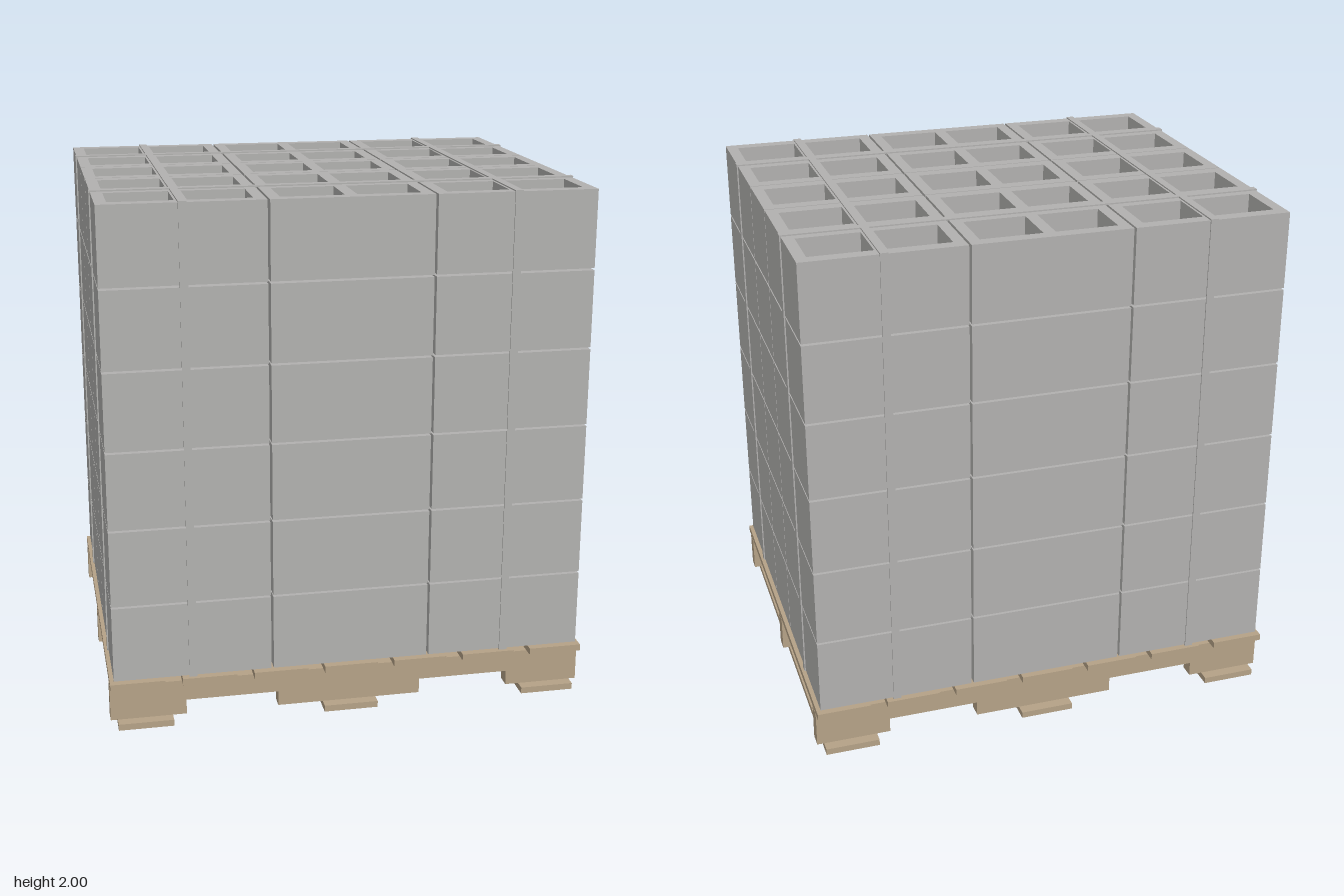
import * as THREE from 'three';

const concrete = new THREE.MeshStandardMaterial({ color: 0xb2b1af });
concrete.name = 'concrete grey';
const wood = new THREE.MeshStandardMaterial({ color: 0xb5a287 });
wood.name = 'pallet wood';

function box(parent, name, mat, w, h, d, x, y, z) {
  const m = new THREE.Mesh(new THREE.BoxGeometry(w, h, d), mat);
  m.name = name;
  m.position.set(x, y, z);
  parent.add(m);
}

function rectangle(path, x, y, w, h) {
  path.moveTo(x - w / 2, y - h / 2);
  path.lineTo(x + w / 2, y - h / 2);
  path.lineTo(x + w / 2, y + h / 2);
  path.lineTo(x - w / 2, y + h / 2);
  path.closePath();
  return path;
}

function createPallet() {
  const pallet = new THREE.Group();
  pallet.name = 'pallet';
  // Seven deck boards and three bottom boards, running front to back
  for (let i = -3; i <= 3; i++) box(pallet, 'deckBoard', wood, 0.207, 0.026, 1.54, i * 0.2735, 0.178, 0);
  for (const x of [-0.793, 0, 0.793]) box(pallet, 'bottomBoard', wood, 0.21, 0.025, 1.54, x, 0.0125, 0);

  // Three stringers with a pair of fork notches
  const s = new THREE.Shape();
  [[-0.925, 0.025], [-0.635, 0.025], [-0.635, 0.083], [-0.28, 0.083], [-0.28, 0.025],
    [0.28, 0.025], [0.28, 0.083], [0.635, 0.083], [0.635, 0.025], [0.925, 0.025],
    [0.925, 0.165], [-0.925, 0.165]].forEach(([x, y], i) => (i ? s.lineTo(x, y) : s.moveTo(x, y)));
  const geo = new THREE.ExtrudeGeometry(s, { depth: 0.057, bevelEnabled: false });
  geo.translate(0, 0, -0.0285);
  for (const z of [-0.7, 0, 0.7]) {
    const m = new THREE.Mesh(geo, wood);
    m.name = 'stringer';
    m.position.z = z;
    pallet.add(m);
  }
  return pallet;
}

function createBlocks() {
  const blocks = new THREE.Group();
  blocks.name = 'blockStack';
  // Hollow block with two cores
  const s = rectangle(new THREE.Shape(), 0, 0, 0.6, 0.296);
  for (const x of [-0.14, 0.14]) s.holes.push(rectangle(new THREE.Path(), x, 0, 0.234, 0.2));
  const geo = new THREE.ExtrudeGeometry(s, { depth: 0.293, bevelEnabled: false });
  geo.rotateX(-Math.PI / 2);
  for (let layer = 0; layer < 6; layer++) {
    for (let row = -2; row <= 2; row++) {
      for (let col = -1; col <= 1; col++) {
        const m = new THREE.Mesh(geo, concrete);
        m.name = 'hollowBlock';
        m.position.set(col * 0.609, 0.197 + layer * 0.301, row * 0.302);
        blocks.add(m);
      }
    }
  }
  return blocks;
}

// Closed band around the stack; alongX gives its direction over the top
function addStrap(parent, alongX, offset) {
  const half = alongX ? 0.909 : 0.752, t = 0.005;
  const strap = new THREE.Group();
  strap.name = 'strap';
  const bar = (len, h, u, y) => (alongX
    ? box(strap, 'strapSide', concrete, len, h, 0.03, u, y, offset)
    : box(strap, 'strapSide', concrete, 0.03, h, len, offset, y, u));
  bar(half * 2 + 2 * t, t, 0, 1.9975);
  bar(half * 2 + 2 * t, t, 0, 0.1945);
  for (const k of [-1, 1]) bar(t, 1.798, k * (half + t / 2), 1.096);
  parent.add(strap);
}

export function createModel() {
  const model = new THREE.Group();
  model.name = 'palletOfBlocks';
  model.add(createPallet(), createBlocks());
  for (const k of [-1, 1]) {
    addStrap(model, false, k * 0.609);
    addStrap(model, true, k * 0.455);
  }
  return model;
}
